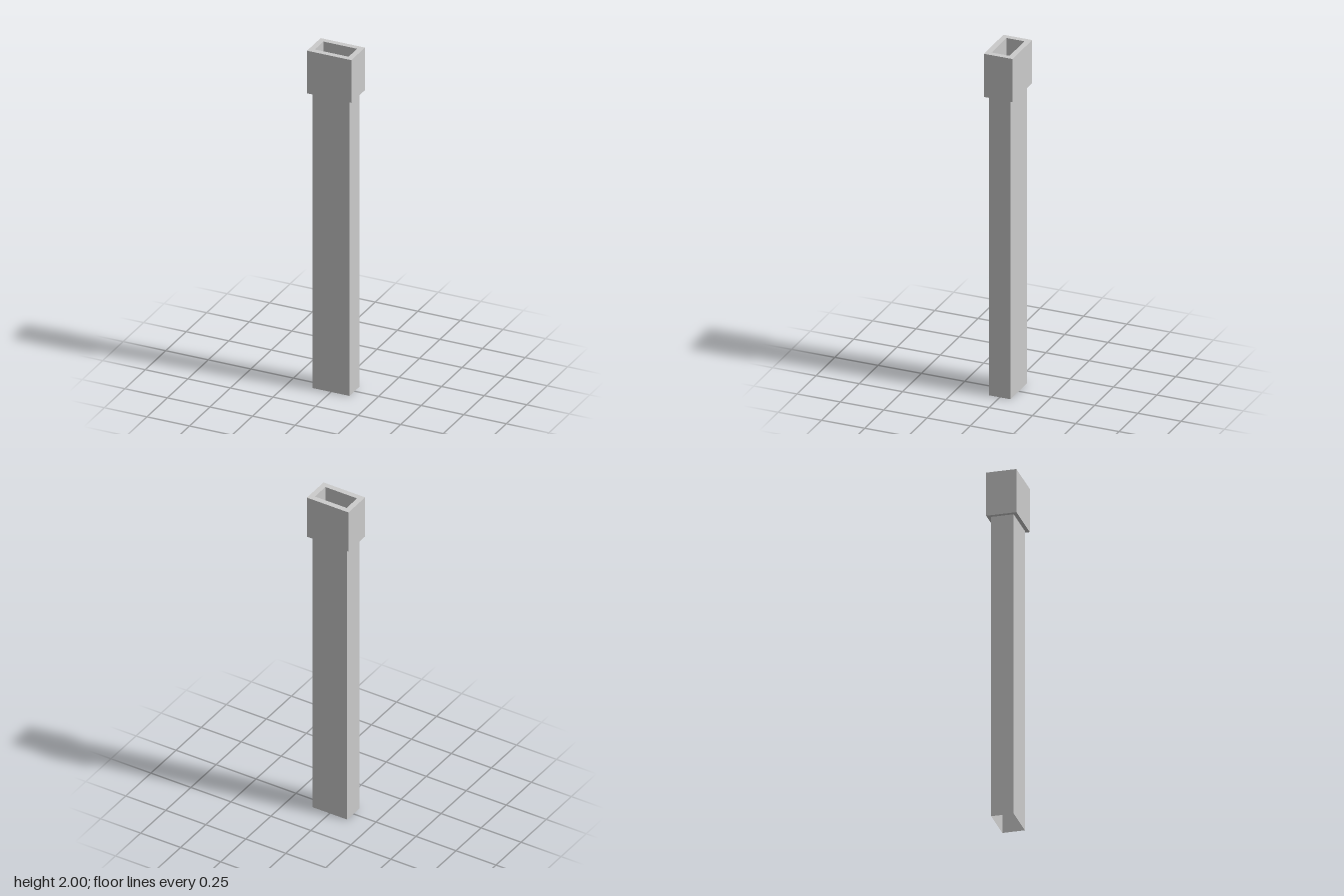
import * as THREE from 'three';

const material = new THREE.MeshStandardMaterial({
  color: 0xcccccc, flatShading: true, side: THREE.DoubleSide,
});

// Rectangle outline from its half sizes
function corners(hx, hz) {
  return [[-hx, -hz], [hx, -hz], [hx, hz], [-hx, hz]].map(([x, z]) => new THREE.Vector2(x, z));
}

export function createModel() {
  const model = new THREE.Group();
  const tubeX = 0.109, tubeZ = 0.062, collarY = 1.748;
  const boreX = 0.099, boreZ = 0.052;

  const add = (name, geometry, y) => {
    const mesh = new THREE.Mesh(geometry, material);
    mesh.name = name;
    mesh.position.y = y;
    model.add(mesh);
  };

  // Thin rectangular tube, open at the bottom
  const wall = new THREE.CylinderGeometry(Math.SQRT2, Math.SQRT2, collarY, 4, 1, true);
  wall.rotateY(Math.PI / 4).scale(tubeX, 1, tubeZ);
  add('tube', wall, collarY / 2);

  // Wider collar with a rectangular socket
  const outline = new THREE.Shape(corners(0.13, 0.083));
  outline.holes.push(new THREE.Path(corners(boreX, boreZ).reverse()));
  const collar = new THREE.ExtrudeGeometry(outline, { depth: 2 - collarY, bevelEnabled: false });
  collar.rotateX(-Math.PI / 2);
  add('collar', collar, collarY);

  // Floor of the socket
  const floor = new THREE.PlaneGeometry(2 * boreX, 2 * boreZ).rotateX(-Math.PI / 2);
  add('socketFloor', floor, collarY);

  return model;
}
